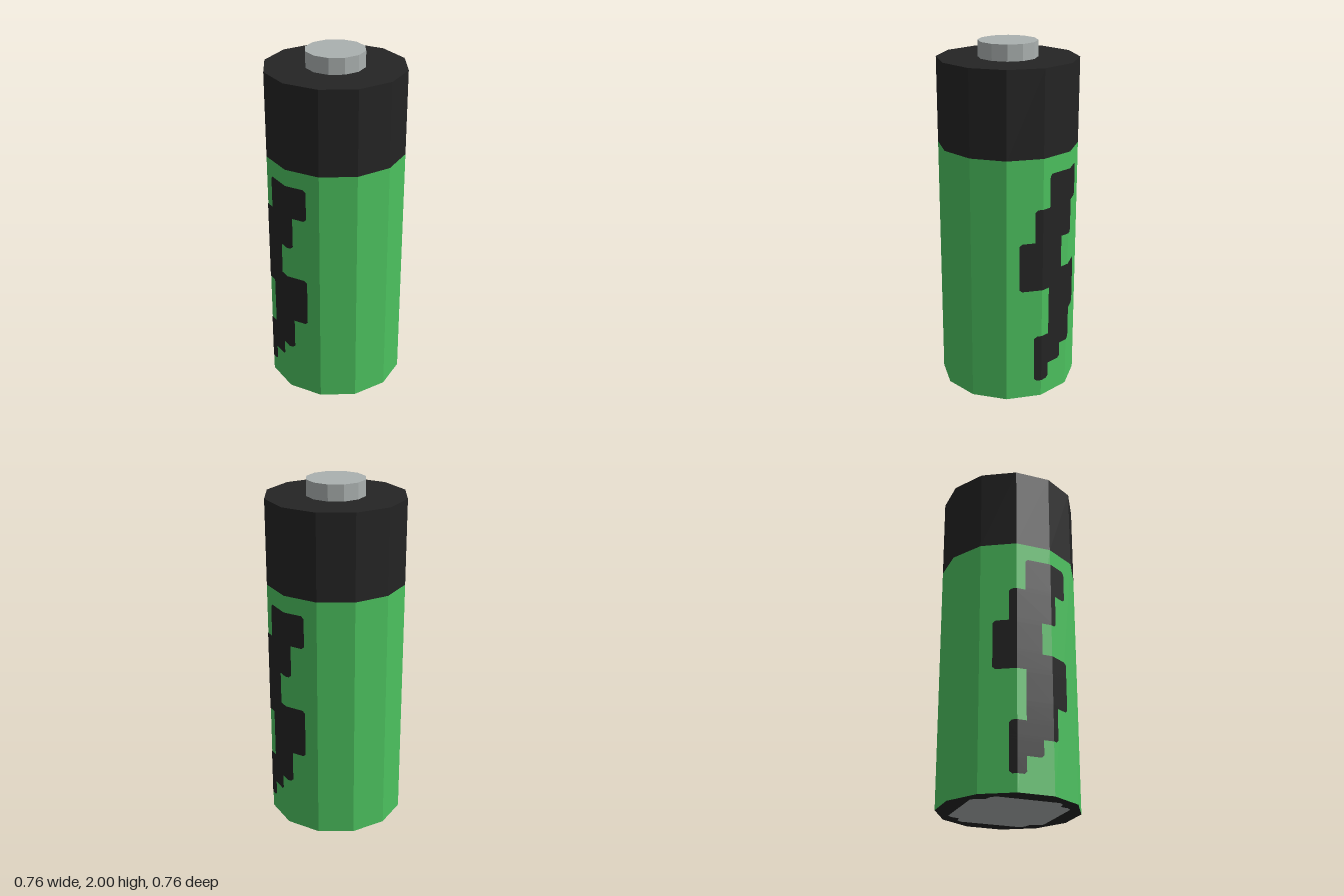
import * as THREE from 'three';

const SIDES = 12;
const APOTHEM = 0.38;
const HALF = APOTHEM * Math.tan(Math.PI / SIDES); // half width of one flat face

const paint = (name, color) => {
  const m = new THREE.MeshStandardMaterial({ color, flatShading: true });
  m.name = name;
  return m;
};

// Twelve-sided prism with flat faces towards the axes
function prism(name, apothem, y0, y1, material, open = false) {
  const r = apothem / Math.cos(Math.PI / SIDES);
  const g = new THREE.CylinderGeometry(r, r, y1 - y0, SIDES, 1, open, Math.PI / SIDES);
  g.translate(0, (y0 + y1) / 2, 0);
  const mesh = new THREE.Mesh(g, material);
  mesh.name = name;
  return mesh;
}

// Lightning bolt rows: [bottom, top, zMin, zMax], listed downwards
const BOLT = [
  [1.145, 1.335, -0.21, 0.05], [0.955, 1.145, -0.135, 0.14],
  [0.77, 0.955, -0.045, 0.217], [0.67, 0.77, -0.21, 0.217],
  [0.48, 0.67, -0.21, 0.05], [0.385, 0.48, -0.135, 0.05],
  [0.29, 0.385, -0.135, 0.14], [0.195, 0.29, -0.045, 0.14],
  [0.10, 0.195, 0.05, 0.14],
];

// Thin decal that bends with the wall's flat faces, with clipped outer corners
function boltGeometry() {
  const pos = [], c = 0.014;
  const point = (z, y) => [
    APOTHEM + 0.002 - Math.max(0, Math.abs(z) - HALF) * Math.tan(Math.PI / 6), y, z];
  const band = (y0, y1, bot, top) => {
    const cuts = [-1, -HALF, HALF, 1];
    for (let i = 0; i < 3; i++) {
      const clip = (z) => Math.min(Math.max(z, cuts[i]), cuts[i + 1]);
      const [a, b] = bot.map(clip), [d, e] = top.map(clip);
      if (b - a < 1e-5 && e - d < 1e-5) continue;
      const A = point(a, y0), B = point(b, y0), D = point(d, y1), E = point(e, y1);
      pos.push(...A, ...D, ...E, ...A, ...E, ...B);
    }
  };
  BOLT.forEach(([y0, y1, lo, hi], i) => {
    // Clip a corner only where the neighbouring row does not continue past it
    const ends = (n) => [
      lo + (!n || n[2] > lo + 0.01 ? c : 0), hi - (!n || n[3] < hi - 0.01 ? c : 0)];
    const full = [lo, hi];
    band(y0, y0 + c, ends(BOLT[i + 1]), full);
    band(y0 + c, y1 - c, full, full);
    band(y1 - c, y1, full, ends(BOLT[i - 1]));
  });
  const g = new THREE.BufferGeometry();
  g.setAttribute('position', new THREE.Float32BufferAttribute(pos, 3));
  g.computeVertexNormals();
  return g;
}

// Square contact with notched corners
function contactShape() {
  const h = 0.28, s = 0.2, k = 0.025, pts = [];
  const corner = [[h, s - k], [h - k, s], [s + 0.01, s + 0.01], [s, h - k], [s - k, h]];
  for (let q = 0; q < 4; q++) {
    const a = q * Math.PI / 2;
    corner.forEach(([x, y]) => pts.push(new THREE.Vector2(x, y).rotateAround(new THREE.Vector2(), a)));
  }
  return new THREE.Shape(pts);
}

export function createModel() {
  const green = paint('green', 0x4cc25f);
  const black = paint('black', 0x242424);
  const metal = paint('metal', 0xaab0af);
  const group = new THREE.Group();
  group.name = 'battery';

  group.add(prism('body', APOTHEM, 0.002, 1.43, green, true));
  group.add(prism('upperSleeve', APOTHEM, 1.43, 1.91, black));
  group.add(prism('positiveTerminal', 0.16, 1.91, 2, metal));

  // Underside: dark disc with the metal contact on it
  const base = new THREE.Mesh(
    new THREE.CircleGeometry(APOTHEM / Math.cos(Math.PI / SIDES), SIDES, Math.PI / SIDES), black);
  base.name = 'baseDisc';
  base.rotation.x = Math.PI / 2;
  base.position.y = 0.002;
  const contact = new THREE.Mesh(new THREE.ShapeGeometry(contactShape()), metal);
  contact.name = 'negativeContact';
  contact.rotation.x = Math.PI / 2;
  group.add(base, contact);

  // One bolt on each side, turned half way round
  const bolt = boltGeometry();
  ['leftBolt', 'rightBolt'].forEach((name, i) => {
    const mesh = new THREE.Mesh(bolt, black);
    mesh.name = name;
    mesh.rotation.y = i * Math.PI;
    group.add(mesh);
  });
  return group;
}
